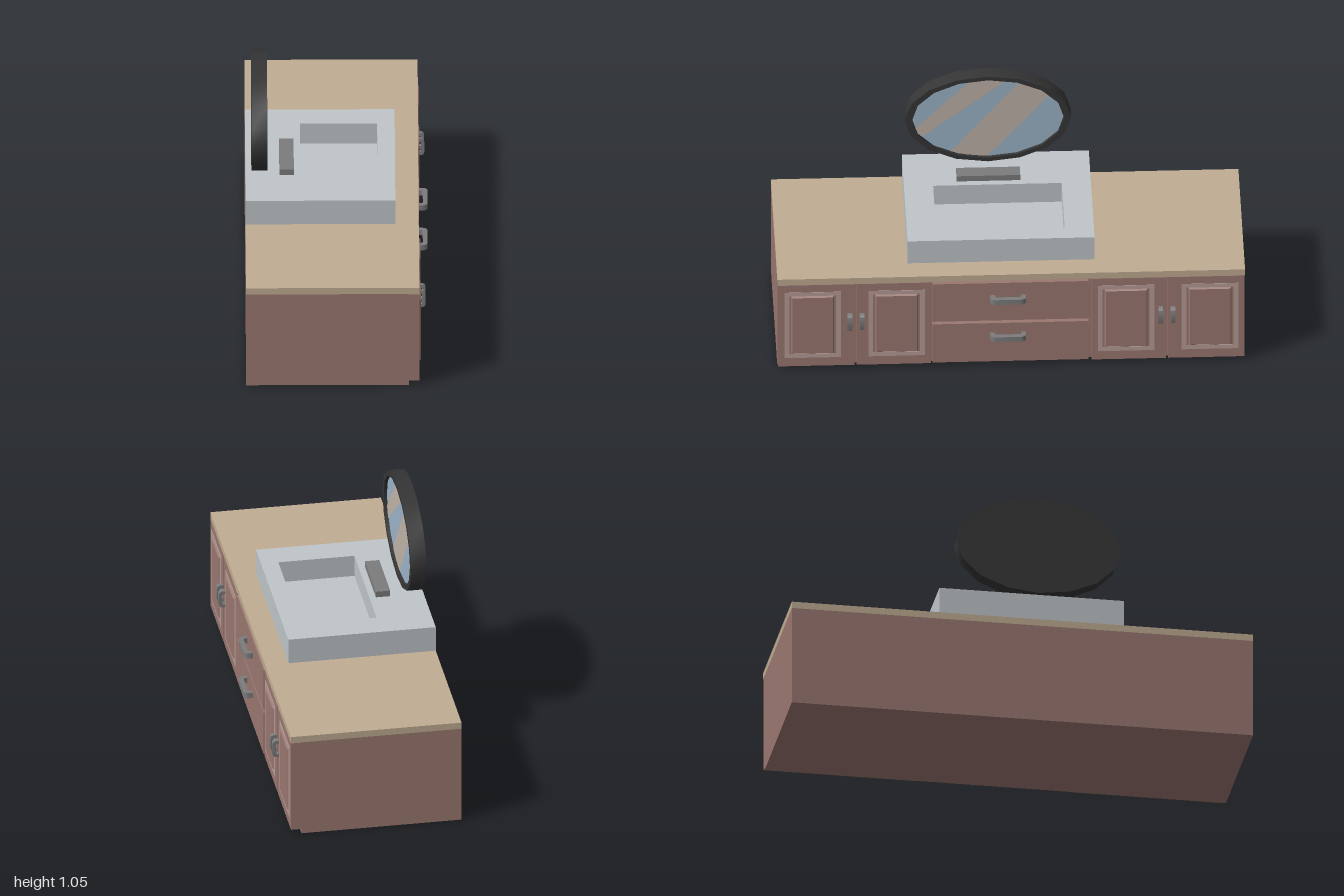
import * as THREE from 'three';
import { toCreasedNormals } from 'three/addons/utils/BufferGeometryUtils.js';

const mat = (color) => new THREE.MeshStandardMaterial({ color });
const wood = mat(0x9a7770), trim = mat(0xb79d97), counterTan = mat(0xc0ac92);
const ceramic = mat(0xc0c5c9), metal = mat(0x7c7c7c), darkFrame = mat(0x353535);
const glassBlue = mat(0x9cb4c8), glassTan = mat(0xbfb3a8);

function add(parent, name, geometry, material) {
  const mesh = new THREE.Mesh(geometry, material);
  mesh.name = name;
  parent.add(mesh);
  return mesh;
}

// Box given by its minimum and maximum on each axis
function box(parent, name, material, x0, x1, y0, y1, z0, z1) {
  const mesh = add(parent, name, new THREE.BoxGeometry(x1 - x0, y1 - y0, z1 - z0), material);
  mesh.position.set((x0 + x1) / 2, (y0 + y1) / 2, (z0 + z1) / 2);
  return mesh;
}

function rectPath(target, x0, x1, y0, y1) {
  target.moveTo(x0, y0);
  target.lineTo(x1, y0);
  target.lineTo(x1, y1);
  target.lineTo(x0, y1);
  target.closePath();
  return target;
}

// Rounded U handle: reaches along +x, its grip runs along y
function handleGeometry(length, reach, thick, width) {
  const h = length / 2, r = thick * 1.2, i = h - thick, q = reach - thick, s = r * 0.4;
  const shape = new THREE.Shape();
  shape.moveTo(0, -h);
  shape.lineTo(reach - r, -h);
  shape.quadraticCurveTo(reach, -h, reach, -h + r);
  shape.lineTo(reach, h - r);
  shape.quadraticCurveTo(reach, h, reach - r, h);
  shape.lineTo(0, h);
  shape.lineTo(0, i);
  shape.lineTo(q - s, i);
  shape.quadraticCurveTo(q, i, q, i - s);
  shape.lineTo(q, -i + s);
  shape.quadraticCurveTo(q, -i, q - s, -i);
  shape.lineTo(0, -i);
  shape.closePath();
  const g = new THREE.ExtrudeGeometry(shape, { depth: width, bevelEnabled: false, curveSegments: 4 });
  g.translate(0, 0, -width / 2);
  return toCreasedNormals(g, 0.6);
}

// Door with a pale moulding and a bevelled raised panel
function makeDoor(z0, z1, panelZ, handleZ) {
  const door = new THREE.Group();
  door.name = 'door';
  box(door, 'doorSlab', wood, 0.305, 0.35, 0.02, 0.443, z0, z1);

  const ring = rectPath(new THREE.Shape(), -0.121, 0.121, 0.064, 0.406);
  ring.holes.push(rectPath(new THREE.Path(), -0.1, 0.1, 0.085, 0.387));
  const ringGeo = new THREE.ExtrudeGeometry(ring, { depth: 0.003, bevelEnabled: false }).rotateY(Math.PI / 2);
  add(door, 'doorMoulding', ringGeo, trim).position.set(0.349, 0, panelZ);

  const panel = new THREE.BoxGeometry(0.01, 0.305, 0.188);
  const p = panel.attributes.position;
  for (let i = 0; i < p.count; i++) {
    if (p.getX(i) > 0) p.setXYZ(i, p.getX(i), p.getY(i) * 0.95, p.getZ(i) * 0.92);
  }
  panel.computeVertexNormals();
  add(door, 'doorPanel', panel, wood).position.set(0.352, 0.2355, panelZ);

  const grip = add(door, 'doorHandle', handleGeometry(0.078, 0.03, 0.014, 0.02), metal);
  grip.position.set(0.348, 0.253, handleZ);
  return door;
}

function makeDrawer(y0, y1, handleY) {
  const drawer = new THREE.Group();
  drawer.name = 'drawer';
  box(drawer, 'drawerFront', wood, 0.305, 0.352, y0, y1, -0.33, 0.338);
  const grip = add(drawer, 'drawerHandle', handleGeometry(0.154, 0.04, 0.021, 0.025), metal);
  grip.rotation.x = Math.PI / 2;
  grip.position.set(0.35, handleY, 0.014);
  return drawer;
}

// Sixteen-sided oval mirror, drawn in a plane and turned to face +x
function makeMirror() {
  const mirror = new THREE.Group();
  mirror.name = 'mirror';
  const RX = 0.356, RY = 0.222, rx = 0.325, ry = 0.203;
  const oval = (a, b) => Array.from({ length: 16 }, (_, i) => {
    const t = (i / 16) * Math.PI * 2;
    return new THREE.Vector2(Math.cos(t) * a, Math.sin(t) * b);
  });
  const turn = (g) => g.rotateY(Math.PI / 2);

  const rim = new THREE.Shape(oval(RX, RY));
  rim.holes.push(new THREE.Path(oval(rx, ry)));
  const rimGeo = turn(new THREE.ExtrudeGeometry(rim, { depth: 0.068, bevelEnabled: false }));
  add(mirror, 'mirrorRim', toCreasedNormals(rimGeo, 0.72), darkFrame);
  add(mirror, 'mirrorBack', turn(new THREE.ExtrudeGeometry(new THREE.Shape(oval(rx, ry)),
    { depth: 0.04, bevelEnabled: false })), darkFrame);
  add(mirror, 'mirrorGlass', turn(new THREE.ShapeGeometry(new THREE.Shape(oval(rx, ry)))), glassBlue)
    .position.x = 0.054;

  // Pale reflection bands, each between two arcs of the oval (degrees)
  for (const [a0, a1, b0, b1] of [[75, 103, 194, 208], [34, 65, 240, 270]]) {
    const pts = [];
    for (const [from, to] of [[a0, a1], [b0, b1]]) {
      for (let i = 0; i <= 4; i++) {
        const t = THREE.MathUtils.degToRad(from + ((to - from) * i) / 4);
        pts.push(new THREE.Vector2(Math.cos(t) * rx * 0.985, Math.sin(t) * ry * 0.985));
      }
    }
    add(mirror, 'mirrorReflection', turn(new THREE.ShapeGeometry(new THREE.Shape(pts))), glassTan)
      .position.x = 0.056;
  }
  mirror.position.set(-0.365, 0.833, 0.075);
  return mirror;
}

export function createModel() {
  const model = new THREE.Group();
  model.name = 'bathroomVanity';

  // Cabinet and worktop
  box(model, 'cabinet', wood, -0.39, 0.305, 0, 0.445, -1, 1);
  box(model, 'countertop', counterTan, -0.39, 0.35, 0.445, 0.475, -1, 1);

  // Two pairs of doors either side of two drawers
  for (const s of [1, -1]) {
    model.add(makeDoor(...[s * 0.67, s * 0.998].sort((a, b) => a - b), s * 0.85, s * 0.691));
    model.add(makeDoor(...[s * 0.343, s * 0.662].sort((a, b) => a - b), s * 0.491, s * 0.639));
  }
  model.add(makeDrawer(0.238, 0.434, 0.358));
  model.add(makeDrawer(0.024, 0.224, 0.163));

  // Basin block with a rectangular well
  const sink = rectPath(new THREE.Shape(), -0.39, 0.25, -0.44, 0.36);
  sink.holes.push(rectPath(new THREE.Path(), -0.155, 0.175, -0.315, 0.235));
  const sinkGeo = new THREE.ExtrudeGeometry(sink, { depth: 0.115, bevelEnabled: false }).rotateX(-Math.PI / 2);
  add(model, 'sink', sinkGeo, ceramic).position.y = 0.475;
  box(model, 'sinkFloor', ceramic, -0.155, 0.175, 0.475, 0.492, -0.235, 0.315);

  // Tap block behind the well
  box(model, 'tapBlock', metal, -0.245, -0.183, 0.59, 0.617, -0.059, 0.213);

  model.add(makeMirror());
  return model;
}
